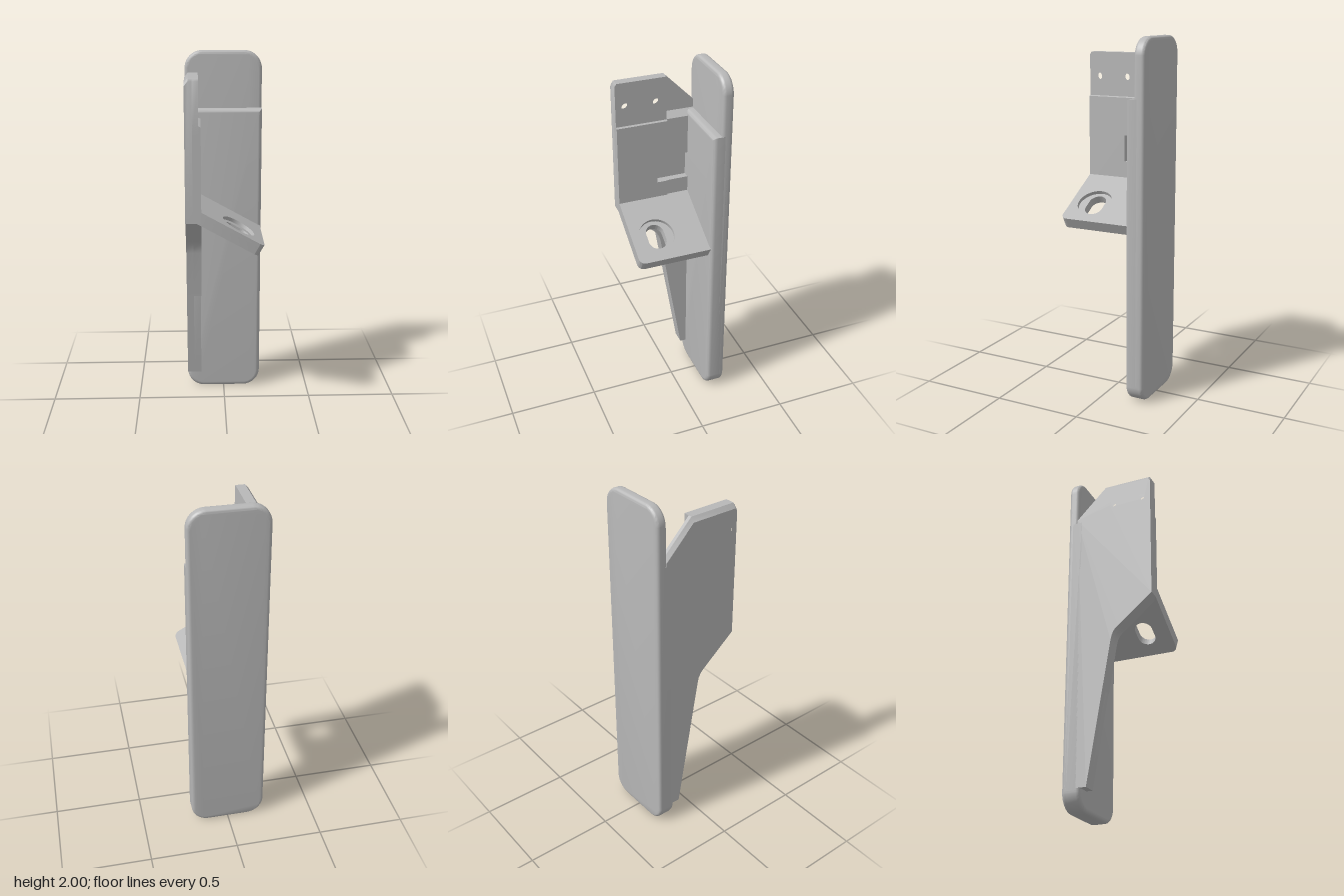
import * as THREE from 'three';
import { toCreasedNormals } from 'three/addons/utils/BufferGeometryUtils.js';

const grey = new THREE.MeshStandardMaterial({ color: 0xb8b8b8 });
grey.name = 'plain grey';

function addMesh(parent, name, geometry) {
  const mesh = new THREE.Mesh(toCreasedNormals(geometry, 0.6), grey);
  mesh.name = name;
  parent.add(mesh);
  return mesh;
}

// Rectangle whose corner radii run bottom left, bottom right, top right, top left
function roundedRect(x0, y0, x1, y1, [bl, br, tr, tl]) {
  const s = new THREE.Shape();
  s.moveTo(x0 + bl, y0);
  s.lineTo(x1 - br, y0);
  if (br) s.absarc(x1 - br, y0 + br, br, -Math.PI / 2, 0, false);
  s.lineTo(x1, y1 - tr);
  if (tr) s.absarc(x1 - tr, y1 - tr, tr, 0, Math.PI / 2, false);
  s.lineTo(x0 + tl, y1);
  if (tl) s.absarc(x0 + tl, y1 - tl, tl, Math.PI / 2, Math.PI, false);
  s.lineTo(x0, y0 + bl);
  if (bl) s.absarc(x0 + bl, y0 + bl, bl, Math.PI, Math.PI * 1.5, false);
  return s;
}

// Slab between two depths with softened edges
function slab(x0, y0, x1, y1, radii, z0, z1, bevel) {
  const shrunk = radii.map((r) => Math.max(r - bevel, 0));
  const shape = roundedRect(x0 + bevel, y0 + bevel, x1 - bevel, y1 - bevel, shrunk);
  const g = new THREE.ExtrudeGeometry(shape, {
    depth: z1 - z0 - 2 * bevel, bevelSize: bevel, bevelThickness: bevel, bevelSegments: 4, curveSegments: 10,
  });
  return g.translate(0, 0, z0 + bevel);
}

// Side profile of [z, y] points, extruded across x, with optional round holes
function sideLayer(points, x0, x1, holes = [], steps = 1) {
  const shape = new THREE.Shape(points.map(([z, y]) => new THREE.Vector2(-z, y)));
  for (const [z, y, r] of holes) {
    shape.holes.push(new THREE.Path().absarc(-z, y, r, 0, Math.PI * 2, true));
  }
  const g = new THREE.ExtrudeGeometry(shape, { depth: x1 - x0, steps, bevelEnabled: false, curveSegments: 20 });
  return g.rotateY(Math.PI / 2).translate(x0, 0, 0);
}

// Lower the vertices that satisfy a test, to chamfer an edge
function lower(g, amount, test) {
  const p = g.attributes.position;
  for (let i = 0; i < p.count; i++) {
    if (test(p.getX(i), p.getY(i), p.getZ(i))) p.setY(i, p.getY(i) - amount);
  }
  return g;
}

export function createModel() {
  const model = new THREE.Group();
  model.name = 'bracket';

  // Back plate: thin full-height slab with a thicker lower front
  addMesh(model, 'backPlate', slab(-0.215, 0, 0.215, 2, [0.1, 0.1, 0.1, 0.1], -0.255, -0.195, 0.018));
  addMesh(model, 'lowerPlate', slab(-0.215, 0, 0.215, 1.685, [0.1, 0.1, 0, 0], -0.25, -0.15, 0.022));

  // Side wall: outer skin with a chamfered top edge
  const wall = new THREE.Group();
  wall.name = 'sideWall';
  model.add(wall);
  const holes = [[0.2, 1.765, 0.021], [0.027, 1.765, 0.021]];
  const taper = [[-0.03, 0.626], [0.015, 0.9], [0.022, 0.93], [0.036, 0.957], [0.06, 0.98], [0.255, 1.14]];
  const skin = sideLayer([
    [-0.2, 0.11], [-0.115, 0.11], ...taper,
    [0.255, 1.885], [0.245, 1.9], [-0.03, 1.9], [-0.2, 1.73],
  ], -0.215, -0.175, holes, 2);
  lower(skin, 0.025, (x, y, z) => x < -0.21 && (y > 1.85 || (y > 1.7 && z < -0.1)));
  addMesh(wall, 'wallSkin', skin);

  // Drilled tab at the top of the wall
  addMesh(wall, 'wallTab', sideLayer([
    [-0.03, 1.6], [0.255, 1.6], [0.255, 1.885], [0.245, 1.9], [-0.03, 1.9],
  ], -0.175, -0.142, holes));

  // Inner thickness of the wall, leaving a rectangular pocket
  const front = sideLayer([
    ...taper, [0.255, 1.67], [-0.03, 1.67],
    [-0.03, 1.44], [0.03, 1.44], [0.03, 1.29], [-0.03, 1.29],
  ], -0.175, -0.13);
  lower(front, 0.018, (x, y) => x > -0.14 && y > 1.65);
  addMesh(wall, 'wallFrontCore', front);
  const rear = sideLayer([[-0.2, 1.44], [-0.03, 1.44], [-0.03, 1.69], [-0.2, 1.69]], -0.175, -0.137);
  lower(rear, 0.03, (x, y) => x > -0.14 && y > 1.65);
  addMesh(wall, 'wallRearCore', rear);
  addMesh(wall, 'wallFin', sideLayer([
    [-0.2, 0.11], [-0.115, 0.11], [-0.03, 0.626], [-0.03, 1.29], [-0.2, 1.29],
  ], -0.175, -0.135));

  // Sloping shelf: local x runs down the slope, local y to the back, local z out of the top
  const shelf = new THREE.Group();
  shelf.name = 'shelf';
  const a = 0.51;
  const along = new THREE.Vector3(Math.cos(a), -Math.sin(a), 0);
  const normal = new THREE.Vector3(Math.sin(a), Math.cos(a), 0);
  shelf.quaternion.setFromRotationMatrix(
    new THREE.Matrix4().makeBasis(along, new THREE.Vector3(0, 0, -1), normal));
  shelf.position.set(-0.13, 1.2, 0);
  model.add(shelf);

  const layer = (name, hole, z, depth) => {
    const shape = roundedRect(-0.04, -0.255, 0.388, 0.16, [0, 0.035, 0, 0]);
    shape.holes.push(hole);
    const g = new THREE.ExtrudeGeometry(shape, { depth, bevelEnabled: false, curveSegments: 24 });
    addMesh(shelf, name, g.translate(0, 0, z));
  };
  const cx = 0.234, cy = -0.112;
  const slot = new THREE.Path();
  slot.absarc(cx + 0.025, cy, 0.05, -Math.PI / 2, Math.PI / 2, false);
  slot.absarc(cx - 0.025, cy, 0.05, Math.PI / 2, Math.PI * 1.5, false);
  slot.closePath();
  const recess = new THREE.Path().absarc(cx, cy, 0.098, 0, Math.PI * 2, true);
  layer('shelfBase', slot, -0.065, 0.045);
  layer('shelfTop', recess, -0.02, 0.02);

  return model;
}
